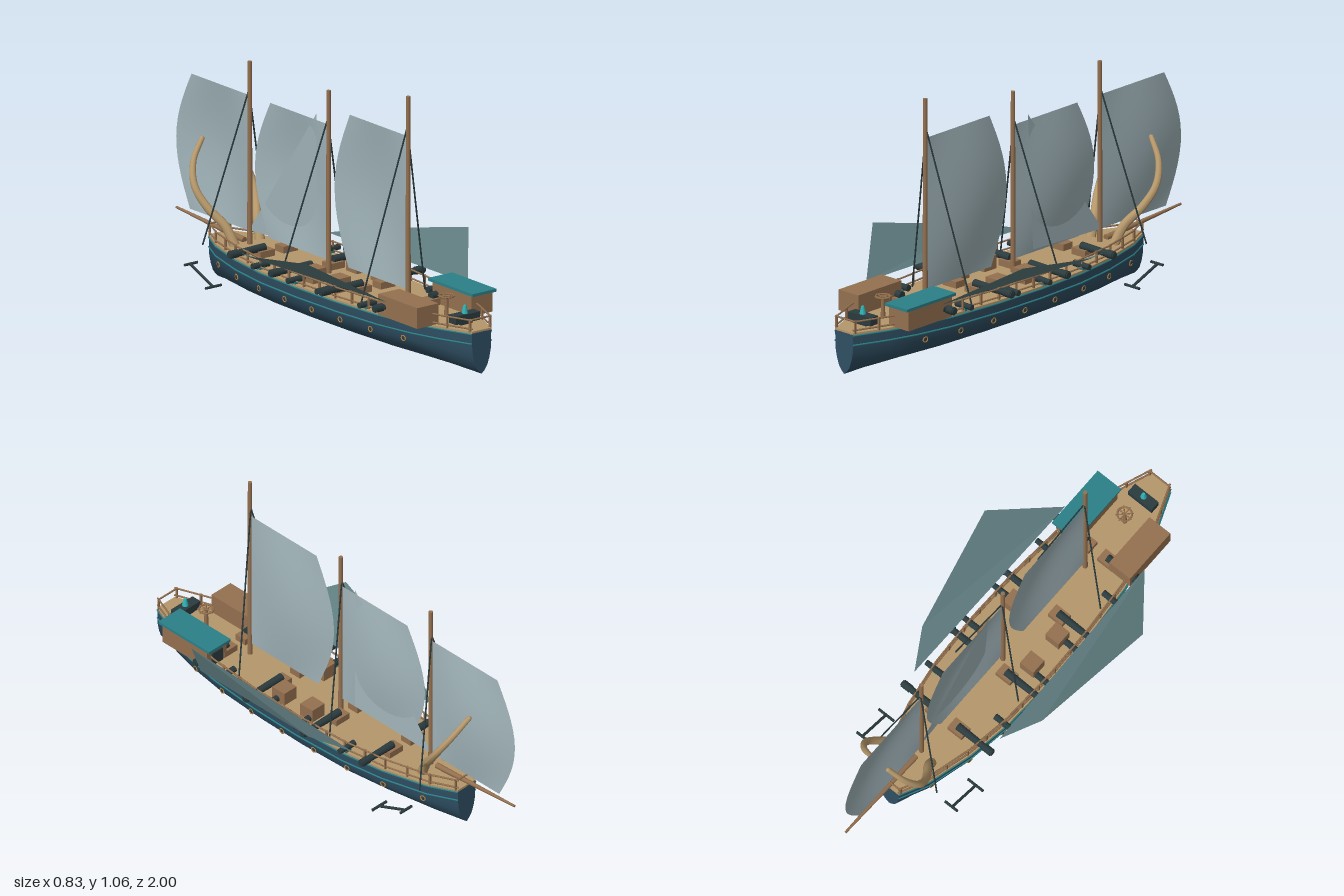
import * as THREE from 'three';

const mat = (name, color, side = THREE.FrontSide) => {
  const m = new THREE.MeshStandardMaterial({ color, side });
  m.name = name;
  return m;
};
const V = (x, y, z) => new THREE.Vector3(x, y, z);

// Hull stations: [z, half width]
const STATIONS = [[1, 0.05], [0.85, 0.11], [0.72, 0.15], [0.55, 0.183], [0.3, 0.203], [0.05, 0.208],
  [-0.2, 0.197], [-0.4, 0.166], [-0.6, 0.11], [-0.72, 0.05]];
// Hull half section: [fraction of half width, y]
const SECTION = [[1, 0.178], [0.985, 0.14], [0.955, 0.1], [0.8, 0.063], [0.58, 0.032], [0.28, 0.012], [0, 0]];

function halfWidth(z) {
  for (let i = 0; i < STATIONS.length - 1; i++) {
    const [z0, w0] = STATIONS[i], [z1, w1] = STATIONS[i + 1];
    if (z <= z0 && z >= z1) return w0 + (w1 - w0) * (z0 - z) / (z0 - z1);
  }
  return 0.05;
}

export function createModel() {
  const root = new THREE.Group();
  const M = {
    hull: mat('navy hull', 0x2f4f63),
    deck: mat('tan timber', 0xb5976a),
    wood: mat('brown timber', 0x94704f),
    teal: mat('teal trim', 0x2b8088),
    iron: mat('dark iron', 0x2b3b3e),
    sail: mat('pale sailcloth', 0xa0b3b8, THREE.DoubleSide),
    wing: mat('slate wing', 0x5d7a7d, THREE.DoubleSide),
    brass: mat('brass', 0xb5884a),
    crystal: mat('cyan crystal', 0x2fb5b8),
  };
  const add = (name, geo, material, x = 0, y = 0, z = 0) => {
    const m = new THREE.Mesh(geo, material);
    m.name = name;
    m.position.set(x, y, z);
    root.add(m);
    return m;
  };
  const box = (name, material, w, h, d, x, y, z) => add(name, new THREE.BoxGeometry(w, h, d), material, x, y, z);
  // Round bar between two points
  const bar = (name, material, a, b, r0, r1 = r0, sides = 8) => {
    const dir = b.clone().sub(a);
    const m = add(name, new THREE.CylinderGeometry(r1, r0, dir.length(), sides), material);
    m.position.copy(a).add(b).multiplyScalar(0.5);
    m.quaternion.setFromUnitVectors(V(0, 1, 0), dir.normalize());
    return m;
  };
  const surface = (pos, idx) => {
    const g = new THREE.BufferGeometry();
    g.setAttribute('position', new THREE.Float32BufferAttribute(pos, 3));
    g.setIndex(idx);
    g.computeVertexNormals();
    return g;
  };

  // Hull skin lofted through the stations
  const ring = [...SECTION.map(([f, y]) => [-f, y]), ...SECTION.slice(0, -1).reverse()];
  const n = ring.length, pos = [], idx = [];
  STATIONS.forEach(([z, w], i) => {
    ring.forEach(([f, y], j) => {
      pos.push(f * w, y, z);
      if (i < STATIONS.length - 1 && j < n - 1) {
        const a = i * n + j, c = a + n;
        idx.push(a, c, a + 1, a + 1, c, c + 1);
      }
    });
  });
  add('hull', surface(pos, idx), M.hull);
  const capGeo = new THREE.ShapeGeometry(new THREE.Shape(ring.map(([f, y]) => new THREE.Vector2(f * 0.05, y))));
  add('sternCap', capGeo, M.hull, 0, 0, 1);
  add('bowCap', capGeo, M.hull, 0, 0, -0.72).rotation.y = Math.PI;

  // Deck slab
  const outline = [...STATIONS.map(([z, w]) => new THREE.Vector2(w, z)),
    ...STATIONS.map(([z, w]) => new THREE.Vector2(-w, z)).reverse()];
  const deckGeo = new THREE.ExtrudeGeometry(new THREE.Shape(outline), { depth: 0.01, bevelEnabled: false });
  add('deck', deckGeo.rotateX(Math.PI / 2), M.deck, 0, 0.186, 0);

  for (const s of [1, -1]) {
    // Hull trim and deck rails
    for (let i = 0; i < STATIONS.length - 1; i++) {
      const [z0, w0] = STATIONS[i], [z1, w1] = STATIONS[i + 1];
      const run = (name, m, f, y, r) => bar(name, m, V(s * w0 * f, y, z0), V(s * w1 * f, y, z1), r, r, 6);
      run('hullTrim', M.teal, 0.985, 0.133, 0.004);
      run('gunwale', M.teal, 1, 0.174, 0.004);
      run('upperRail', M.wood, 0.96, 0.233, 0.004);
      run('lowerRail', M.wood, 0.96, 0.197, 0.004);
    }
    for (let i = 0; i <= 17; i++) {
      const z = 0.99 - i * 0.1;
      box('railPost', M.wood, 0.008, 0.055, 0.008, s * halfWidth(z) * 0.96, 0.21, z);
    }

    // Portholes
    for (let i = 0; i < 8; i++) {
      const z = 0.68 - i * 0.18, x = s * halfWidth(z) * 0.958;
      const turn = Math.atan2(s, -s * s * (halfWidth(z + 0.02) - halfWidth(z - 0.02)) / 0.04);
      add('portholeRing', new THREE.TorusGeometry(0.011, 0.003, 6, 16), M.brass, x, 0.103, z).rotation.y = turn;
      add('portholeGlass', new THREE.SphereGeometry(0.009, 10, 6), M.iron, x, 0.103, z).scale.x = 0.4;
    }

    // Long guns on carriages
    for (const z of [-0.35, -0.045, 0.285, 0.597]) {
      const w = halfWidth(z);
      bar('gunBarrel', M.iron, V(s * 0.055, 0.222, z), V(s * (w + 0.065), 0.222, z), 0.017, 0.013, 12);
      bar('gunMuzzle', M.iron, V(s * (w + 0.02), 0.222, z), V(s * (w + 0.06), 0.222, z), 0.017, 0.017, 12);
      box('gunCarriage', M.wood, 0.075, 0.028, 0.055, s * 0.06, 0.2, z);
    }
    // Short guns at the rail
    for (const z of [-0.215, 0.03, 0.215, 0.475]) {
      const w = halfWidth(z);
      bar('shortGun', M.iron, V(s * (w - 0.055), 0.203, z), V(s * (w + 0.03), 0.203, z), 0.014, 0.012, 12);
      box('shortGunMount', M.teal, 0.03, 0.014, 0.022, s * (w - 0.015), 0.19, z);
    }
    // Cargo crates
    for (const z of [0.05, 0.21]) box('crate', M.wood, 0.07, 0.06, 0.07, s * 0.113, 0.215, z);

    // Side wings
    add('wing', surface([
      s * 0.225, 0.245, -0.29, s * 0.317, 0.285, -0.13, s * 0.417, 0.395, 0.386, s * 0.21, 0.257, 0.645,
    ], s > 0 ? [0, 3, 1, 1, 3, 2] : [0, 1, 3, 1, 2, 3]).toNonIndexed(), M.wing).geometry.computeVertexNormals();

    // Curved tusk, tapered along its length
    const curve = new THREE.CatmullRomCurve3([V(s * 0.065, 0.185, -0.53), V(s * 0.082, 0.26, -0.57),
      V(s * 0.125, 0.335, -0.635), V(s * 0.143, 0.415, -0.695), V(s * 0.11, 0.5, -0.745), V(s * 0.042, 0.578, -0.775)]);
    const tusk = new THREE.TubeGeometry(curve, 28, 0.021, 12);
    const tp = tusk.attributes.position;
    for (let i = 0; i < tp.count; i++) {
      const t = Math.floor(i / 13) / 28, c = curve.getPointAt(t);
      const p = V(0, 0, 0).fromBufferAttribute(tp, i).sub(c).multiplyScalar(1 - 0.5 * t).add(c);
      tp.setXYZ(i, p.x, p.y, p.z);
    }
    tusk.computeVertexNormals();
    add('tusk', tusk, M.deck);
    add('tuskTip', new THREE.SphereGeometry(0.0105, 12, 8), M.deck, s * 0.042, 0.578, -0.775);

    // Anchor
    const low = V(s * 0.237, 0.063, -0.455), high = V(s * 0.237, 0.124, -0.605);
    bar('anchorShank', M.iron, low, high, 0.006);
    bar('anchorFluke', M.iron, V(s * 0.195, 0.063, -0.455), V(s * 0.276, 0.063, -0.455), 0.006);
    bar('anchorStock', M.iron, V(s * 0.2, 0.124, -0.605), V(s * 0.266, 0.124, -0.605), 0.006);

    // Stern cabins
    box('cabin', M.wood, 0.11, 0.088, 0.255, s * 0.14, 0.228, 0.698);
    add('cabinPorthole', new THREE.CylinderGeometry(0.012, 0.012, 0.006, 14), M.iron, s * 0.196, 0.225, 0.61)
      .rotation.z = Math.PI / 2;
  }
  box('cabinRoof', M.teal, 0.124, 0.012, 0.29, 0.14, 0.277, 0.697);
  box('cabinDoor', M.iron, 0.06, 0.06, 0.008, 0.14, 0.22, 0.568);

  // Masts, sails and stays
  const sail = (z0, top) => {
    const g = new THREE.PlaneGeometry(1, 1, 12, 14), p = g.attributes.position;
    for (let i = 0; i < p.count; i++) {
      const u = p.getX(i) + 0.5, v = p.getY(i) + 0.5;
      const depth = 0.385 - 0.01 * v + 0.095 * Math.sin(Math.PI * v);
      p.setXYZ(i, 0.027 * Math.sin(Math.PI * u) * Math.sin(Math.PI * v), 0.24 + v * (top - 0.24), z0 - u * depth);
    }
    g.computeVertexNormals();
    add('sail', g, M.sail);
  };
  for (const [z, top, sailTop, stay] of [[0.52, 1.06, 0.89, 0.93], [0, 0.96, 0.815, 0.84], [-0.515, 0.96, 0.815, 0.84]]) {
    bar('mast', M.wood, V(0, 0.18, z), V(0, top, z), 0.011, 0.009, 12);
    sail(z - 0.006, sailTop);
    for (const s of [1, -1]) bar('stay', M.iron, V(0, stay, z - 0.005), V(s * 0.165, 0.188, z - 0.1), 0.0035, 0.0035, 6);
  }
  add('jib', surface([0.004, 0.84, -0.085, 0.004, 0.24, -0.525, 0.018, 0.26, -0.1], [0, 1, 2]), M.sail);
  bar('bowsprit', M.wood, V(0, 0.193, -0.55), V(0, 0.226, -0.995), 0.013, 0.005, 10);

  // Steering wheel on its post
  bar('wheelPost', M.wood, V(0, 0.18, 0.77), V(0, 0.275, 0.77), 0.01, 0.007);
  add('wheelRim', new THREE.TorusGeometry(0.03, 0.004, 6, 24), M.wood, 0, 0.275, 0.77).rotation.x = Math.PI / 2;
  for (let i = 0; i < 4; i++) {
    const a = i * Math.PI / 4, c = 0.037 * Math.cos(a), d = 0.037 * Math.sin(a);
    bar('wheelSpoke', M.wood, V(-c, 0.275, 0.77 - d), V(c, 0.275, 0.77 + d), 0.0025, 0.0025, 6);
  }

  // Stern console with crystal, and end rails
  box('console', M.iron, 0.125, 0.035, 0.045, 0, 0.213, 0.888);
  box('consoleFoot', M.iron, 0.06, 0.02, 0.03, 0, 0.193, 0.888);
  add('crystal', new THREE.CylinderGeometry(0.006, 0.014, 0.034, 8), M.crystal, 0, 0.247, 0.89);
  for (const z of [0.99, -0.715]) {
    bar('endRail', M.wood, V(-0.05, 0.233, z), V(0.05, 0.233, z), 0.004, 0.004, 6);
  }
  return root;
}
